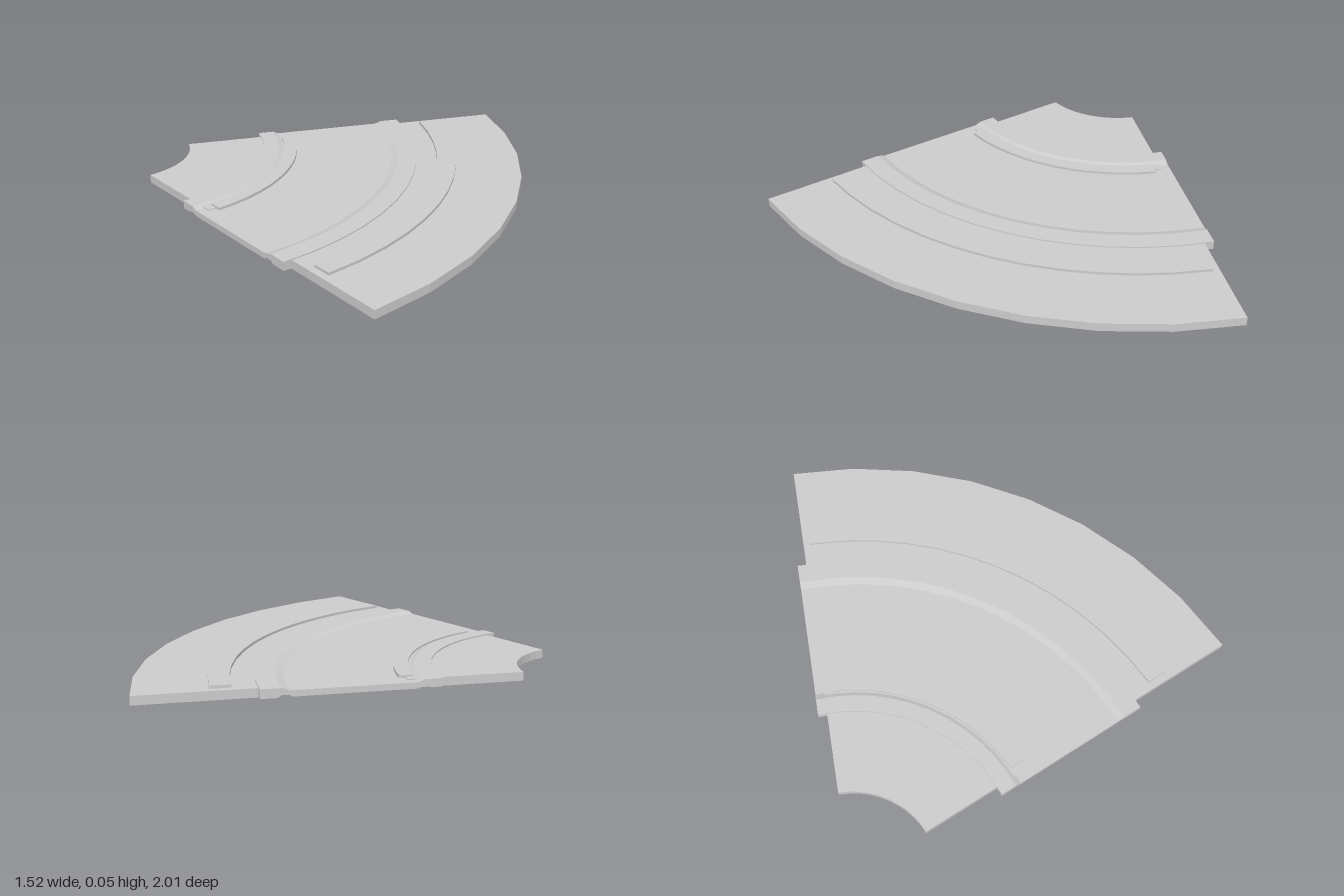
import * as THREE from 'three';

const CX = -1.048; // shared centre of all the arcs
const HALF = THREE.MathUtils.degToRad(33.8);

// Sweeps a counter-clockwise (radius, height) profile about the centre.
// overhang pushes the straight end faces outward, parallel to the sector edges.
function sector(profile, segments, overhang = 0) {
  const pts = profile.map(([r, y]) => new THREE.Vector2(r, y));
  const n = pts.length;
  const pos = [];
  const put = (i, j) => {
    const { x: r, y } = pts[j % n];
    const t = (HALF + Math.asin(overhang / r)) * ((2 * i) / segments - 1);
    pos.push(CX + r * Math.cos(t), y, r * Math.sin(t));
  };
  for (let i = 0; i < segments; i++) {
    for (let j = 0; j < n; j++) {
      put(i, j); put(i, j + 1); put(i + 1, j + 1);
      put(i, j); put(i + 1, j + 1); put(i + 1, j);
    }
  }
  for (const [a, b, c] of THREE.ShapeUtils.triangulateShape(pts, [])) {
    put(segments, a); put(segments, b); put(segments, c);
    put(0, c); put(0, b); put(0, a);
  }
  const geo = new THREE.BufferGeometry();
  geo.setAttribute('position', new THREE.Float32BufferAttribute(pos, 3));
  geo.computeVertexNormals();
  return geo;
}

const slab = (r0, r1, y0, y1) => [[r0, y0], [r1, y0], [r1, y1], [r0, y1]];

export function createModel() {
  const group = new THREE.Group();
  const material = new THREE.MeshStandardMaterial({ color: 0xcccccc, flatShading: true });
  const add = (name, geo) => {
    const mesh = new THREE.Mesh(geo, material);
    mesh.name = name;
    group.add(mesh);
  };

  // Flat inner and outer aprons
  add('innerPlate', sector(slab(0.345, 0.8, 0, 0.034), 10));
  add('outerPlate', sector(slab(1.345, 1.803, 0, 0.035), 8));

  // Sunken middle bed with raised lips and grooves, overhanging at both ends
  add('middleBed', sector([
    [0.678, 0.008], [0.72, 0.008], [0.735, 0.013], [0.755, 0.013], [0.77, 0.006],
    [1.235, 0.006], [1.25, 0.014], [1.275, 0.014], [1.29, 0.004], [1.354, 0.004],
    [1.354, 0.04], [1.275, 0.04], [1.245, 0.03],
    [0.77, 0.03], [0.745, 0.04], [0.678, 0.04],
  ], 12, 0.037));

  // Raised curved rails, stopping short of the ends
  add('innerRail', sector(slab(0.768, 0.825, 0.02, 0.041), 12, -0.035));
  add('outerRail', sector(slab(1.445, 1.525, 0.03, 0.046), 12, -0.03));

  return group;
}
